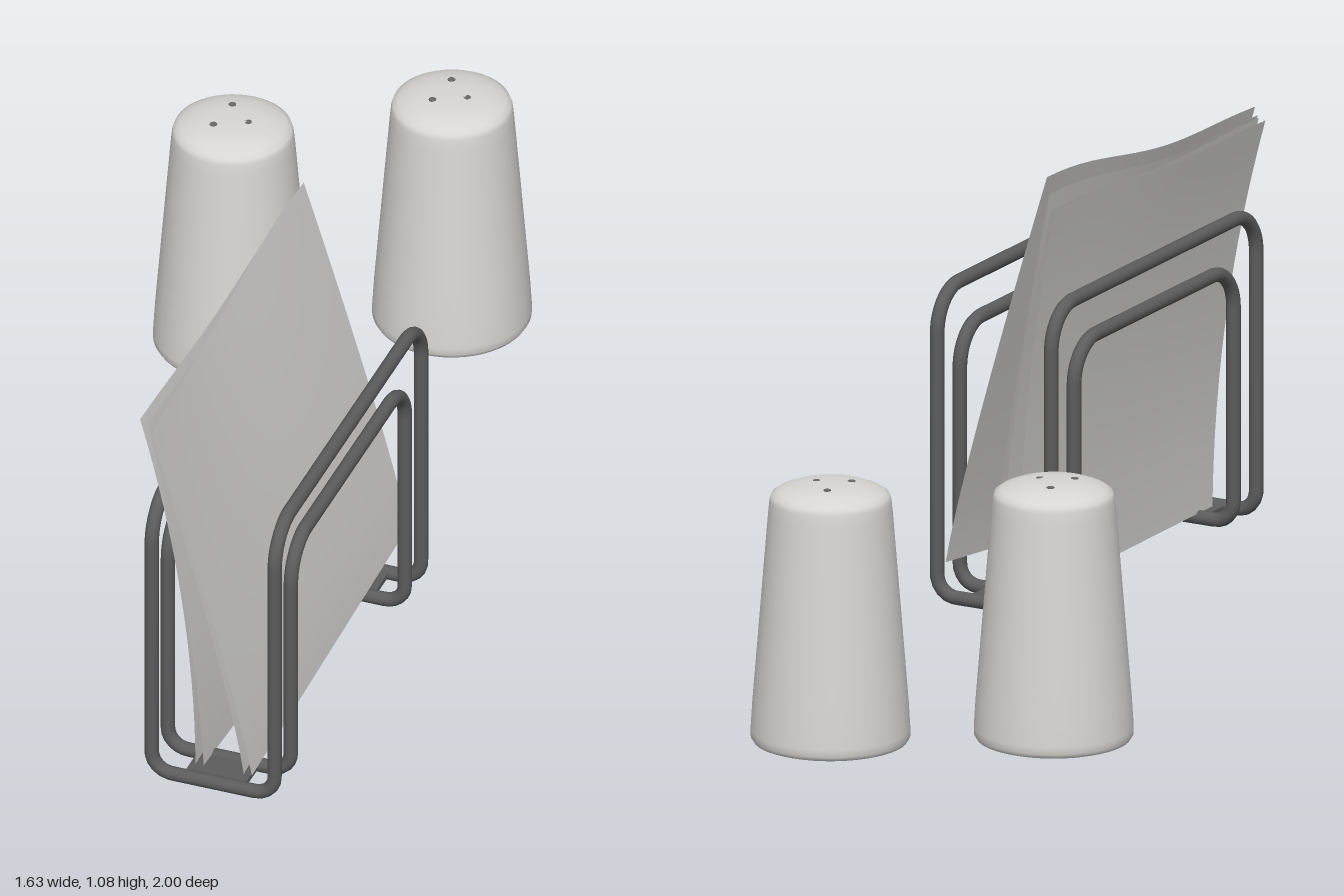
import * as THREE from 'three';

const mat = (name, color, side = THREE.FrontSide) => {
  const m = new THREE.MeshStandardMaterial({ color, side });
  m.name = name;
  return m;
};

function add(parent, name, geometry, material) {
  const mesh = new THREE.Mesh(geometry, material);
  mesh.name = name;
  parent.add(mesh);
  return mesh;
}

// Closed wire path with rounded corners; each corner is [x, y, z, radius]
function roundedLoop(corners) {
  const pts = corners.map(c => new THREE.Vector3(c[0], c[1], c[2]));
  const n = pts.length;
  const path = new THREE.CurvePath();
  const toward = (p, q, r) => p.clone().add(q.clone().sub(p).setLength(r));
  for (let i = 0; i < n; i++) {
    const p = pts[i], next = pts[(i + 1) % n], prev = pts[(i + n - 1) % n];
    const a = toward(p, prev, corners[i][3]);
    const b = toward(p, next, corners[i][3]);
    path.add(new THREE.CubicBezierCurve3(a, a.clone().lerp(p, 0.55), b.clone().lerp(p, 0.55), b));
    path.add(new THREE.LineCurve3(b, toward(next, p, corners[(i + 1) % n][3])));
  }
  return path;
}

// Wire loop: front arch, back arch and the two floor links
function wireLoop(half, top) {
  const w = 0.153, y = 0.03, R = 0.1, r = 0.05;
  const path = roundedLoop([
    [-half, y, w, r], [-half, top, w, R], [half, top, w, R], [half, y, w, r],
    [half, y, -w, r], [half, top, -w, R], [-half, top, -w, R], [-half, y, -w, r],
  ]);
  return new THREE.TubeGeometry(path, 320, 0.017, 12, true);
}

// Bent paper sheet between four corners; bend > 1 keeps it upright low down
function sheet({ tl, tr, bl, br, bend = 1, wave = 0, sag = 0 }) {
  const geo = new THREE.PlaneGeometry(1, 1, 20, 16);
  const pos = geo.attributes.position;
  const mix = THREE.MathUtils.lerp;
  for (let i = 0; i < pos.count; i++) {
    const s = pos.getX(i) + 0.5, t = pos.getY(i) + 0.5;
    const p = [0, 1, 2].map(k => {
      const tt = k === 2 ? Math.pow(t, bend) : t;
      return mix(mix(bl[k], br[k], s), mix(tl[k], tr[k], s), tt);
    });
    p[1] -= wave * Math.sin(s * Math.PI * 2 - 0.6) * s * t * t;
    p[2] -= sag * Math.sin(s * Math.PI) * t * t;
    pos.setXYZ(i, ...p);
  }
  geo.computeVertexNormals();
  return geo;
}

export function createModel() {
  const model = new THREE.Group();
  model.name = 'tableSet';
  const metal = mat('dark metal', 0x5c5c5c);
  const paper = mat('paper', 0xd0cfcd, THREE.DoubleSide);
  const ceramic = mat('ceramic', 0xd8d6d2);
  const hole = mat('hole', 0x6a6866);

  // Napkin holder, turned 45 degrees
  const holder = new THREE.Group();
  holder.name = 'napkinHolder';
  holder.position.set(-0.349, 0, 0.534);
  holder.rotation.y = Math.PI / 4;
  model.add(holder);
  add(holder, 'outerWire', wireLoop(0.479, 0.765), metal);
  add(holder, 'innerWire', wireLoop(0.373, 0.655), metal);
  for (const side of [-1, 1]) {
    add(holder, 'footPlate', new THREE.BoxGeometry(0.106, 0.012, 0.15), metal)
      .position.set(side * 0.426, 0.03, 0);
  }

  // Two folded napkins, two leaves each
  const leaves = [
    { tl: [-0.514, 1.0, -0.13], tr: [0.468, 1.07, -0.135], bl: [-0.437, 0.04, 0.08], br: [0.532, 0.13, 0.1],
      bend: 1.15, wave: 0.022, sag: 0.015 },
    { tl: [-0.5, 0.985, -0.145], tr: [0.465, 1.03, -0.14], bl: [-0.437, 0.04, 0.06], br: [0.477, 0.04, 0.02],
      bend: 1.2, wave: 0.02, sag: 0.015 },
    { tl: [-0.47, 0.99, -0.165], tr: [0.485, 0.995, -0.155], bl: [-0.437, 0.04, -0.04], br: [0.477, 0.04, -0.01],
      bend: 1.5, wave: 0.015 },
    { tl: [-0.458, 0.99, -0.19], tr: [0.497, 1.0, -0.17], bl: [-0.437, 0.04, -0.06], br: [0.477, 0.04, -0.068],
      bend: 2, wave: 0.015 },
  ];
  leaves.forEach(leaf => add(holder, 'napkinLeaf', sheet(leaf), paper));

  // Shakers: one smooth turned profile
  const profile = [
    [0, 0.004], [0.168, 0.004], [0.18, 0.008], [0.186, 0.018], [0.186, 0.035], [0.182, 0.1], [0.174, 0.2],
    [0.158, 0.4], [0.145, 0.56], [0.142, 0.59], [0.138, 0.602], [0.125, 0.611], [0.1, 0.621],
    [0.07, 0.627], [0.035, 0.63], [0, 0.63],
  ].map(([r, y]) => new THREE.Vector2(r, y));
  const body = new THREE.LatheGeometry(profile, 48);
  const dot = new THREE.CylinderGeometry(0.009, 0.009, 0.003, 10);

  for (const [x, z] of [[0.12, -0.815], [0.627, -0.7]]) {
    const shaker = new THREE.Group();
    shaker.name = 'shaker';
    shaker.position.set(x, 0, z);
    add(shaker, 'shakerBody', body, ceramic);
    for (const [hx, hz] of [[-0.052, 0.005], [0.022, -0.052], [0.025, 0.03]]) {
      add(shaker, 'pourHole', dot, hole).position.set(hx, 0.6285, hz);
    }
    model.add(shaker);
  }
  return model;
}
